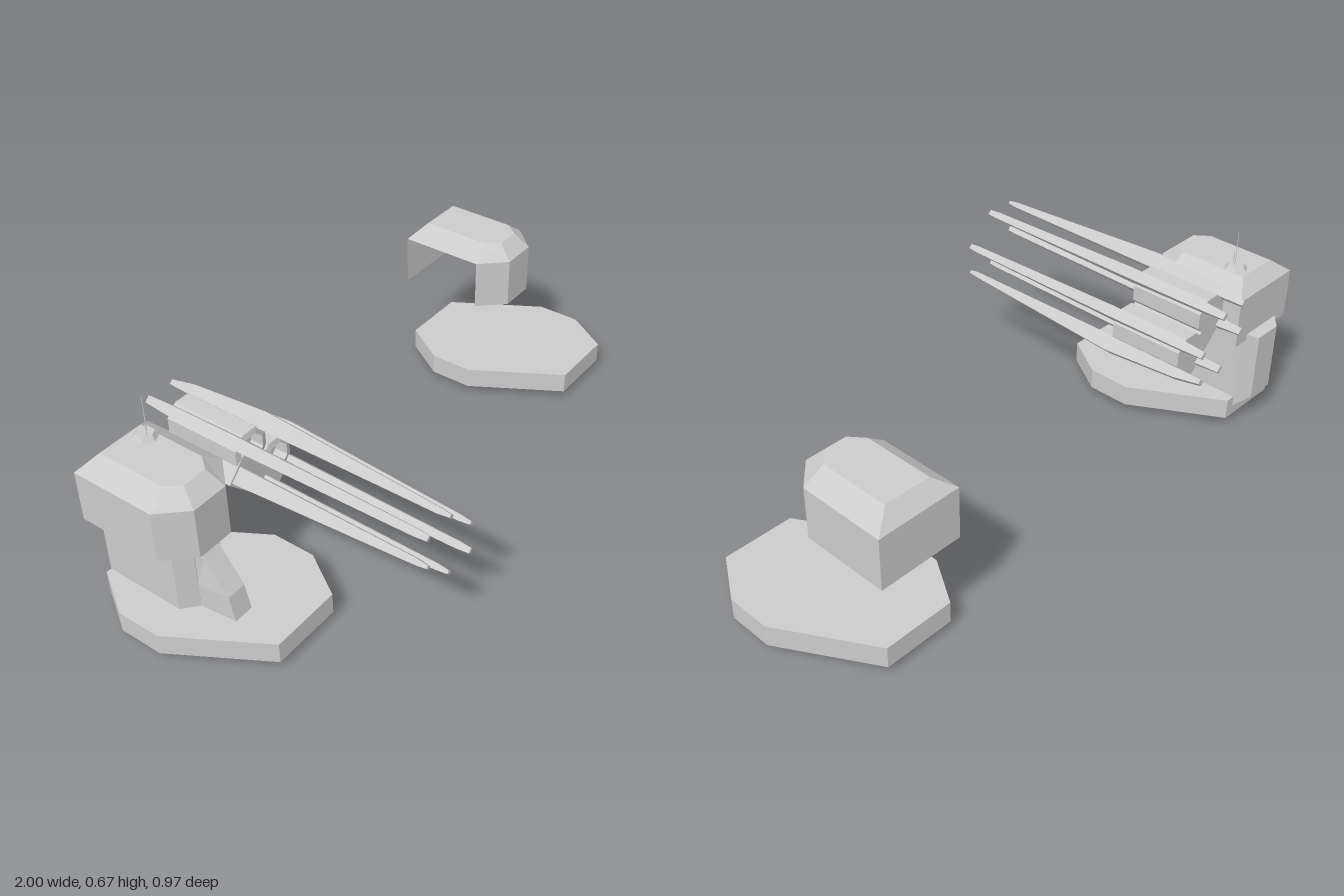
import * as THREE from 'three';

const material = new THREE.MeshStandardMaterial({ color: 0xcccccc, flatShading: true, side: THREE.DoubleSide });

function add(parent, name, geometry, x = 0, y = 0, z = 0) {
  const mesh = new THREE.Mesh(geometry, material);
  mesh.name = name;
  mesh.position.set(x, y, z);
  parent.add(mesh);
  return mesh;
}

// Joins cross-sections (counter-clockwise seen from the end side) into a faceted solid.
function loft(rings, { startCap = true, endCap = true, skip = () => false } = {}) {
  const pos = [];
  const tri = (...points) => points.forEach((p) => pos.push(...p));
  const n = rings[0].length;
  for (let i = 0; i < rings.length - 1; i++) {
    for (let j = 0; j < n; j++) {
      if (skip(i, j)) continue;
      const k = (j + 1) % n;
      const [a, b, c, d] = [rings[i][j], rings[i][k], rings[i + 1][k], rings[i + 1][j]];
      tri(a, b, c);
      tri(a, c, d);
    }
  }
  const first = rings[0], last = rings[rings.length - 1];
  for (let j = 1; j < n - 1; j++) {
    if (startCap) tri(first[0], first[j + 1], first[j]);
    if (endCap) tri(last[0], last[j], last[j + 1]);
  }
  const geometry = new THREE.BufferGeometry();
  geometry.setAttribute('position', new THREE.Float32BufferAttribute(pos, 3));
  geometry.computeVertexNormals();
  return geometry;
}

// Horizontal cross-section from [x, z] points at height y.
const plan = (points, y) => points.map(([x, z]) => [x, y, z]);

// Foot plate: a skewed octagon with point symmetry, and a hexagonal socket below.
function addBase(parent, x) {
  const half = [[0.155, 0.29], [0.245, 0.145], [0.245, 0], [0.075, -0.29]];
  const outline = [...half, ...half.map(([px, pz]) => [-px, -pz])];
  add(parent, 'basePlate', loft([plan(outline, 0.025), plan(outline, 0.095)]), x, 0, -0.145);
  const socket = new THREE.CylinderGeometry(0.13, 0.13, 0.025, 6, 1, true).rotateY(Math.PI / 6);
  add(parent, 'baseSocket', socket, x + 0.062, 0.0125, -0.007);
}

// Armoured hood, open below, with an optional missing inner wall.
function addHood(parent, x, openSide) {
  const wall = [[0.06, -0.082], [0.137, -0.165], [0.137, -0.447], [-0.137, -0.447], [-0.137, -0.165], [-0.06, -0.082]];
  const roof = [[0.04, -0.13], [0.075, -0.175], [0.075, -0.405], [-0.075, -0.405], [-0.075, -0.175], [-0.04, -0.13]];
  const rings = [plan(wall, 0.318), plan(wall, 0.485), plan(roof, 0.532)];
  add(parent, 'hood', loft(rings, { startCap: false, skip: (i, j) => openSide && i === 0 && j === 3 }), x);
}

// Supporting column with a front fin and a tapered rear panel.
function addColumn(parent, x) {
  const body = [[0.045, -0.125], [0.09, -0.165], [0.09, -0.435], [-0.09, -0.435], [-0.09, -0.165], [-0.045, -0.125]];
  add(parent, 'column', loft([plan(body, 0.09), plan(body, 0.45)]), x);

  const fin = (y, z) => plan([[0.032, z], [0.045, -0.13], [-0.045, -0.13], [-0.032, z]], y);
  add(parent, 'frontFin', loft([fin(0.09, -0.005), fin(0.175, -0.025), fin(0.28, -0.1), fin(0.32, -0.125)]), x);

  const section = (w, y0, y1, z) => [[-w, y0, z], [w, y0, z], [w, y1, z], [-w, y1, z]];
  add(parent, 'rearPanel', loft([section(0.05, 0.095, 0.325, -0.477), section(0.09, 0.06, 0.345, -0.435)]), x);
}

// Hatch and two thin aerials on the roof.
function addRoofFittings(parent) {
  add(parent, 'hatch', new THREE.CylinderGeometry(0.028, 0.04, 0.016, 6), -0.757, 0.539, -0.357);
  for (const [x, z, top] of [[-0.765, -0.341, 0.587], [-0.75, -0.357, 0.665]]) {
    add(parent, 'aerial', new THREE.CylinderGeometry(0.001, 0.002, top - 0.54, 4), x, (top + 0.54) / 2, z);
  }
}

// One long rail; each station is z, inner radius, outer radius, half width.
function railGeometry() {
  const stations = [
    [-0.487, 0.062, 0.077, 0.011], [-0.4, 0.06, 0.092, 0.015], [-0.145, 0.058, 0.109, 0.018],
    [0.45, 0.062, 0.08, 0.011], [0.487, 0.066, 0.076, 0.008],
  ];
  return loft(stations.map(([z, r0, r1, w]) => [[r0, -w, z], [r1, -w, z], [r1, w, z], [r0, w, z]]));
}

// Twin gun, turned 45 degrees about its long axis.
function addGun(parent) {
  const gun = new THREE.Group();
  gun.name = 'twinGun';
  gun.position.set(-0.5225, 0.4175, 0);
  gun.rotation.z = -Math.PI / 4;
  parent.add(gun);

  const block = (low, z) => [[-0.092, low, z], [0.134, low, z], [0.134, 0, z], [-0.092, 0, z]];
  add(gun, 'gunHousing', loft([block(-0.075, -0.405), block(-0.117, -0.335), block(-0.117, -0.145)]));

  const profile = [[0, -0.405], [0.066, -0.405], [0.066, -0.15], [0.047, -0.145], [0.047, -0.19], [0, -0.19]]
    .map(([r, y]) => new THREE.Vector2(r, y));
  const barrel = new THREE.LatheGeometry(profile, 8, Math.PI / 8).rotateX(Math.PI / 2);
  const rail = railGeometry();
  for (const [x, turns] of [[-0.067, [1, 2, 3]], [0.067, [0, 1, 3]]]) {
    add(gun, 'barrel', barrel, x);
    for (const turn of turns) add(gun, 'rail', rail, x).rotation.z = turn * Math.PI / 2;
  }
}

export function createModel() {
  const model = new THREE.Group();
  model.name = 'turretParts';

  // Complete turret
  const turret = new THREE.Group();
  turret.name = 'turret';
  addBase(turret, -0.757);
  addColumn(turret, -0.804);
  addHood(turret, -0.804, false);
  addRoofFittings(turret);
  addGun(turret);

  // Separate base and hood
  const spare = new THREE.Group();
  spare.name = 'spareParts';
  addBase(spare, 0.755);
  addHood(spare, 0.708, true);

  model.add(turret, spare);
  return model;
}
